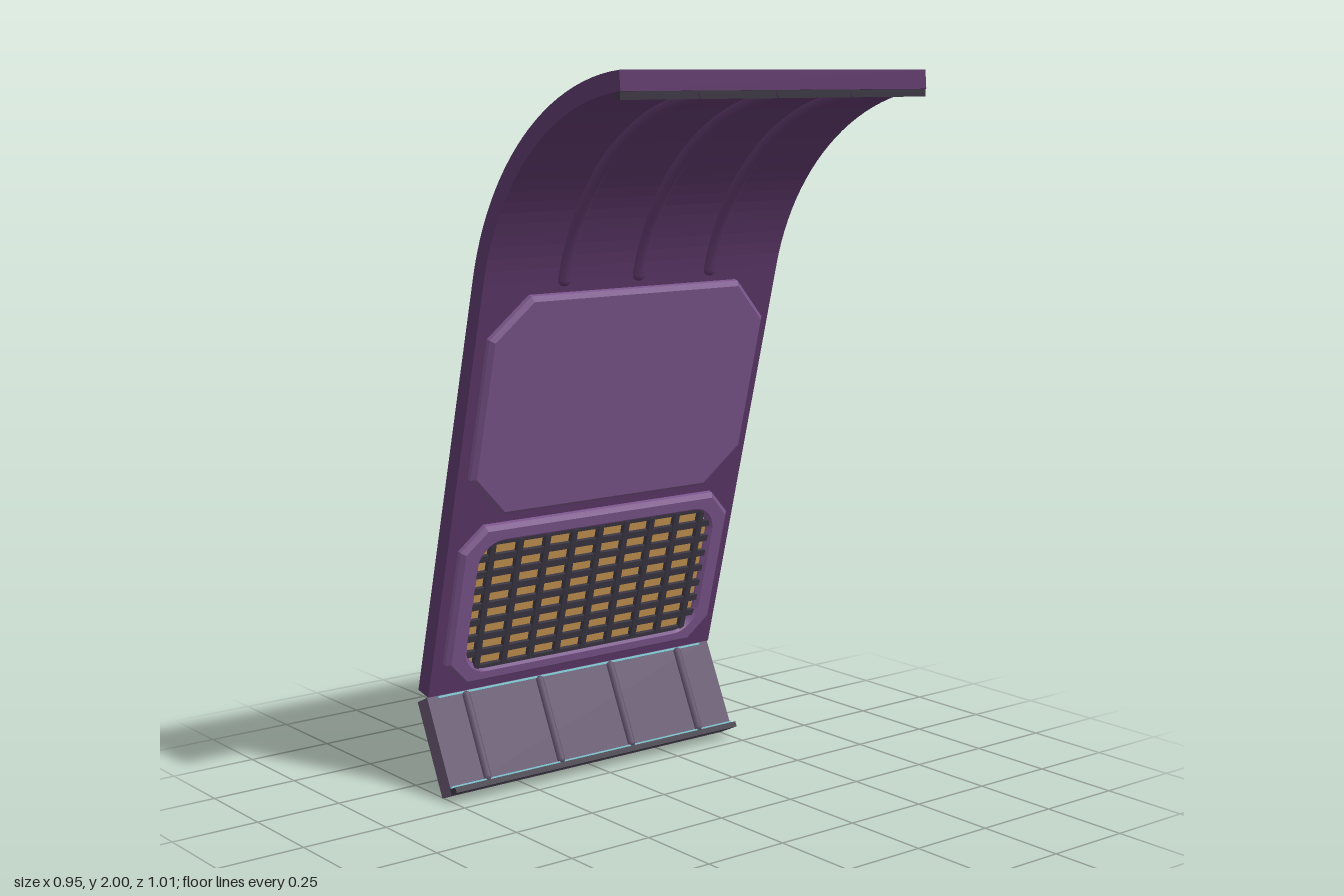
import * as THREE from 'three';

const HALF = 0.504;                       // half width along z
const CX = 0.532, CY = 1.283, R = 0.72;   // centre and outer radius of the curved roof
const A0 = THREE.MathUtils.degToRad(165.5), A1 = THREE.MathUtils.degToRad(95.2);
const THICK = 0.05;

const mat = (name, color) => {
  const m = new THREE.MeshStandardMaterial({ color });
  m.name = name;
  return m;
};

function arc(r, n = 24) {
  const pts = [];
  for (let i = 0; i <= n; i++) {
    const a = A0 + (A1 - A0) * i / n;
    pts.push(new THREE.Vector2(CX + r * Math.cos(a), CY + r * Math.sin(a)));
  }
  return pts;
}

// Rectangle with cut corners, centred on x = 0
function cutRect(w, y0, y1, cx, cy) {
  return new THREE.Shape([
    [-w + cx, y0], [w - cx, y0], [w, y0 + cy], [w, y1 - cy],
    [w - cx, y1], [-w + cx, y1], [-w, y1 - cy], [-w, y0 + cy],
  ].map(p => new THREE.Vector2(...p)));
}

function roundHole(w, y0, y1, r) {
  const p = new THREE.Path();
  p.absarc(w - r, y1 - r, r, 0, Math.PI / 2);
  p.absarc(-w + r, y1 - r, r, Math.PI / 2, Math.PI);
  p.absarc(-w + r, y0 + r, r, Math.PI, Math.PI * 1.5);
  p.absarc(w - r, y0 + r, r, Math.PI * 1.5, Math.PI * 2);
  p.closePath();
  return p;
}

export function createModel() {
  const model = new THREE.Group();
  model.name = 'curvedWallPanel';

  const shellMat = mat('deep purple', 0x5b3768);
  const panelMat = mat('light purple', 0x7b558b);
  const skirtMat = mat('grey purple', 0x62536c);
  const darkMat = mat('dark grey', 0x3a3642);
  const amberMat = mat('amber', 0xc49450);
  const lightMat = mat('pale cyan', 0x6fb6c4);

  const add = (parent, name, geo, material, x = 0, y = 0, z = 0) => {
    const m = new THREE.Mesh(geo, material);
    m.name = name;
    m.position.set(x, y, z);
    parent.add(m);
    return m;
  };
  const box = (parent, name, material, w, h, d, x, y, z) =>
    add(parent, name, new THREE.BoxGeometry(w, h, d), material, x, y, z);

  // Group whose local x runs across, y up the slope and z out of the inner face
  const slope = (name, x, y, tilt) => {
    const g = new THREE.Group();
    g.name = name;
    g.position.set(x, y, 0);
    g.rotation.set(0, Math.PI / 2, tilt, 'ZYX');
    model.add(g);
    return g;
  };

  // Leaning wall and curved roof in one profile
  const profile = [
    new THREE.Vector2(-0.42, 0.277), new THREE.Vector2(-0.47, 0.289),
    ...arc(R), ...arc(R - THICK).reverse(),
  ];
  add(model, 'shell', new THREE.ExtrudeGeometry(new THREE.Shape(profile),
    { depth: HALF * 2, bevelEnabled: false }), shellMat, 0, 0, -HALF);

  // Roof ribs and the trim along the roof edge
  const ribPath = new THREE.CatmullRomCurve3(arc(R - 0.055).map(p => new THREE.Vector3(p.x, p.y, 0)));
  const ribStart = ribPath.getPoint(0);
  for (const z of [-0.25, 0, 0.25]) {
    add(model, 'roofRib', new THREE.TubeGeometry(ribPath, 28, 0.018, 8), shellMat, 0, 0, z);
    add(model, 'roofRibEnd', new THREE.SphereGeometry(0.018, 8, 6), shellMat, ribStart.x, ribStart.y, z);
  }
  box(model, 'roofEdgeTrim', darkMat, 0.016, 0.022, HALF * 2, 0.461, 1.941, 0);

  // Raised panels on the wall
  const wall = slope('wallPanels', -0.42, 0.277, A0 - Math.PI);
  const bevel = {
    depth: 0.02, bevelThickness: 0.012, bevelSize: 0.012, bevelOffset: -0.012,
    bevelSegments: 1, curveSegments: 6,
  };
  add(wall, 'upperPanel', new THREE.ExtrudeGeometry(cutRect(0.47, 0.545, 1.175, 0.115, 0.115), bevel),
    panelMat, 0, 0, -0.007);
  const frame = cutRect(0.47, 0.03, 0.515, 0.07, 0.07);
  frame.holes.push(roundHole(0.405, 0.077, 0.462, 0.07));
  add(wall, 'grilleFrame', new THREE.ExtrudeGeometry(frame, bevel), panelMat, 0, 0, -0.007);

  // Grille: amber backing behind crossed dark bars
  const mid = 0.27;
  box(wall, 'grilleBacking', amberMat, 0.82, 0.39, 0.006, 0, mid, 0.003);
  for (let i = -4; i <= 4; i++)
    box(wall, 'grilleUpright', darkMat, 0.018, 0.39, 0.021, i * 0.092, mid, 0.0105);
  for (let i = -4; i <= 4; i++)
    box(wall, 'grilleSlat', darkMat, 0.82, 0.019, 0.018, 0, mid + i * 0.049, 0.009);

  // Lower skirt, kicked forward, with ribs, foot lip and light strips
  const skirt = slope('skirt', -0.297, 0.03, THREE.MathUtils.degToRad(25.6));
  box(skirt, 'skirtPlate', skirtMat, HALF * 2, 0.277, 0.055, 0, 0.1385, -0.0375);
  for (const x of [-0.38, -0.127, 0.127, 0.38])
    add(skirt, 'skirtRib', new THREE.CapsuleGeometry(0.012, 0.235, 4, 8), skirtMat, x, 0.145, -0.007);
  box(skirt, 'footLip', darkMat, HALF * 2, 0.016, 0.03, 0, 0.008, 0.002);
  box(skirt, 'footLight', lightMat, HALF * 2, 0.006, 0.008, 0, 0.019, -0.007);
  box(skirt, 'topLight', lightMat, 0.94, 0.006, 0.006, 0, 0.272, -0.009);

  return model;
}
